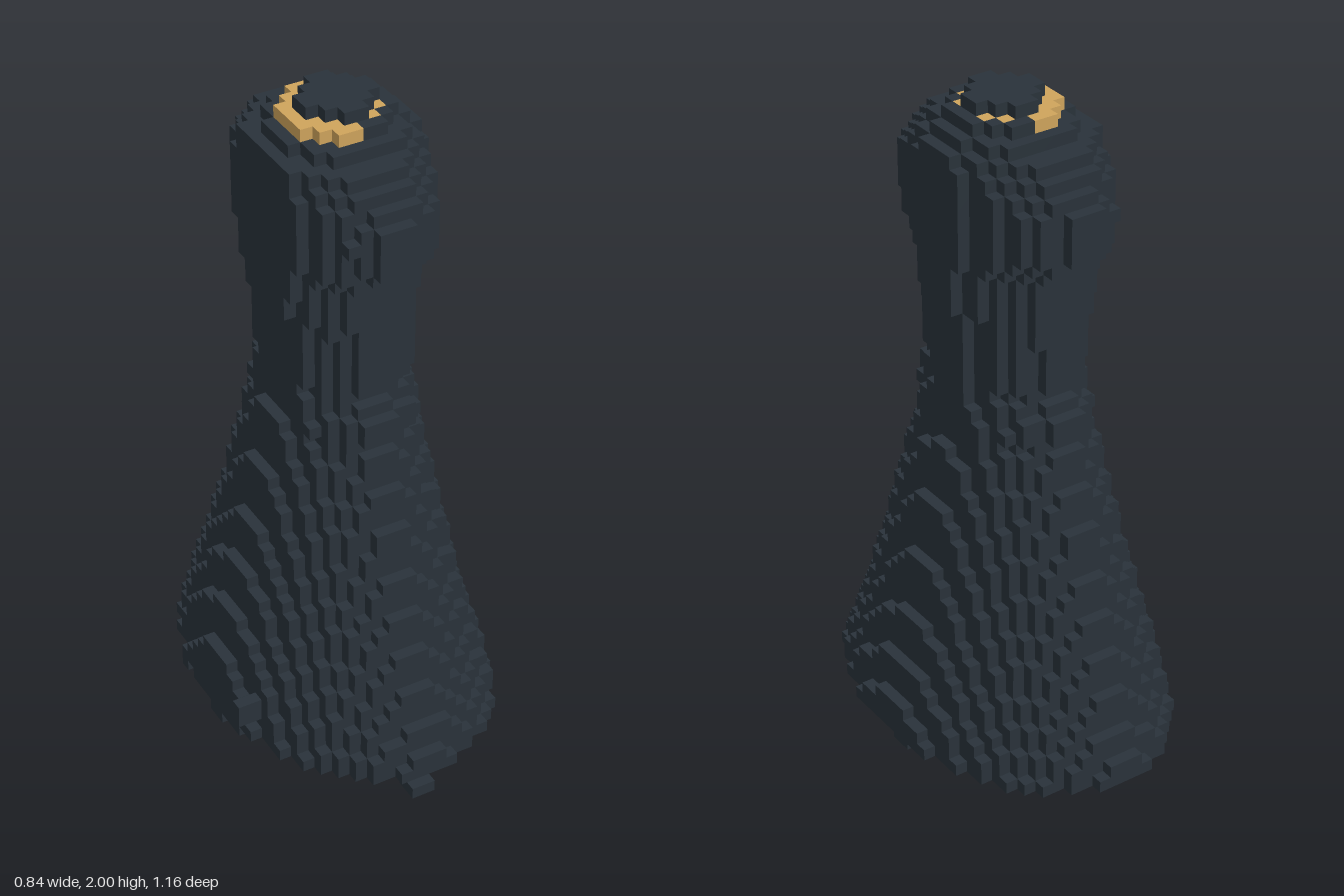
import * as THREE from 'three';

const V = 2 / 55; // cube size; the model is 55 layers tall

// Half sizes of the oval section, in cubes, as [layer, value] points
const rightHalf = [[2, 11.58], [4.5, 11.02], [7.5, 10], [11.5, 9], [16.5, 8], [21.5, 7], [26.5, 6], [31, 5.3],
  [38, 5.2], [39, 6.2], [43, 6.32], [51, 6.32], [52, 5], [53, 4], [54, 2.8]];
const leftHalf = [[2, 10.75], [6.5, 10.02], [10.5, 9], [14.5, 8], [18.5, 7], [23.5, 6], [28.5, 5.02], [31, 4.8],
  [38, 4.8], [39, 5.7], [43, 5.8], [51, 5.8], [52, 5], [53, 4], [54, 2.8]];
const depthHalf = [[2, 16], [3.5, 15.52], [5.5, 14.5], [8.5, 13.5], [11.5, 12.5], [14.5, 11.5], [17.5, 10.5],
  [21.5, 9.5], [24.5, 8.5], [27.5, 7.5], [28, 7.2], [29, 8], [30, 7.8], [31, 7], [32, 6.2], [33, 7], [42, 7.1],
  [43, 8], [44, 9], [45, 9.8], [47, 10], [48, 9.8], [49, 9], [50, 8], [51, 7], [52, 5.5], [53, 4], [54, 2.8]];

// Straight-line reading of a profile at one layer
function at(profile, layer) {
  const n = Math.max(1, profile.findIndex(([y]) => y >= layer));
  const [[y0, v0], [y1, v1]] = [profile[n - 1], profile[n]];
  return v0 + ((v1 - v0) * (layer - y0)) / (y1 - y0);
}

const SIDES = [[1, 0, 0], [-1, 0, 0], [0, 1, 0], [0, -1, 0], [0, 0, 1], [0, 0, -1]];

export function createModel() {
  const group = new THREE.Group();
  const slate = new THREE.MeshStandardMaterial({ color: 0x29323a });
  slate.name = 'dark slate';
  const gold = new THREE.MeshStandardMaterial({ color: 0xcfa45c });
  gold.name = 'gold';

  const key = (i, j, k) => `${i},${j},${k}`;
  const solid = new Map();
  const put = (map, i, j, k, part) => map.set(key(i, j, k), { i, j, k, part });

  // Oval layers: flared skirt, neck, rounded head, ring and cap
  for (let j = 2; j < 55; j++) {
    const [right, left, b] = [rightHalf, leftHalf, depthHalf].map((p) => at(p, j));
    for (let i = -11; i < 11; i++) {
      for (let k = -16; k < 16; k++) {
        const x = j >= 52 ? i + 0.5 : i + 1, z = k + 0.5;
        const a = x < 0 ? left : right;
        if ((x / a) ** 2 + (z / b) ** 2 > 1) continue;
        let part = j < 32 ? 'skirt' : j < 43 ? 'neck' : j < 54 ? 'head' : 'cap';
        const r = Math.hypot(x, z);
        if (j === 53 && r > 2.8 && (x < 0 || r < 3)) part = 'goldRing';
        put(solid, i, j, k, part);
      }
    }
  }

  // Keep only the outer shell, so the figure is hollow and open underneath
  const cells = new Map();
  for (const { i, j, k, part } of solid.values()) {
    const outer = SIDES.some(([dx, dy, dz]) => j + dy > 1 && !solid.has(key(i + dx, j + dy, k + dz)));
    if (outer) put(cells, i, j, k, part);
  }

  const block = (i0, i1, j0, j1, k0, k1, part) => {
    for (let i = i0; i <= i1; i++)
      for (let j = j0; j <= j1; j++)
        for (let k = k0; k <= k1; k++) put(cells, i, j, k, part);
  };

  // Small feet under the skirt, the one on the -x side on a longer rail
  block(-2, -1, 0, 0, 14, 15, 'frontFoot');
  block(-2, -1, 0, 0, -14, -13, 'backFoot');
  block(8, 9, 0, 0, -1, 0, 'leftFoot');
  block(-11, -10, 0, 0, -1, 0, 'rightFoot');
  block(-11, -10, 1, 1, -4, 3, 'rightFoot');
  block(-11, -10, 1, 1, -6, -6, 'rightFoot');

  // Little knob on the side of the skirt
  block(-12, -11, 4, 5, 5, 5, 'sideKnob');

  // Collect only the exposed cube faces of every part
  const faces = {};
  for (const { i, j, k, part } of cells.values()) {
    const out = (faces[part] ??= []);
    const centre = [i + 1, j + 0.5, k + 0.5];
    for (const d of SIDES) {
      if (cells.has(key(i + d[0], j + d[1], k + d[2]))) continue;
      const axis = d.findIndex((c) => c !== 0);
      const u = (axis + 1) % 3, v = (axis + 2) % 3, s = d[axis];
      const corner = (p, q) => {
        const c = [...centre];
        c[axis] += s / 2;
        c[u] += (p * s) / 2;
        c[v] += q / 2;
        return c.map((t) => t * V);
      };
      const [A, B, C, D] = [corner(-1, -1), corner(1, -1), corner(1, 1), corner(-1, 1)];
      out.push(...A, ...B, ...C, ...A, ...C, ...D);
    }
  }

  for (const [part, points] of Object.entries(faces)) {
    const geometry = new THREE.BufferGeometry();
    geometry.setAttribute('position', new THREE.Float32BufferAttribute(points, 3));
    geometry.computeVertexNormals();
    const mesh = new THREE.Mesh(geometry, part === 'goldRing' ? gold : slate);
    mesh.name = part;
    group.add(mesh);
  }
  return group;
}
